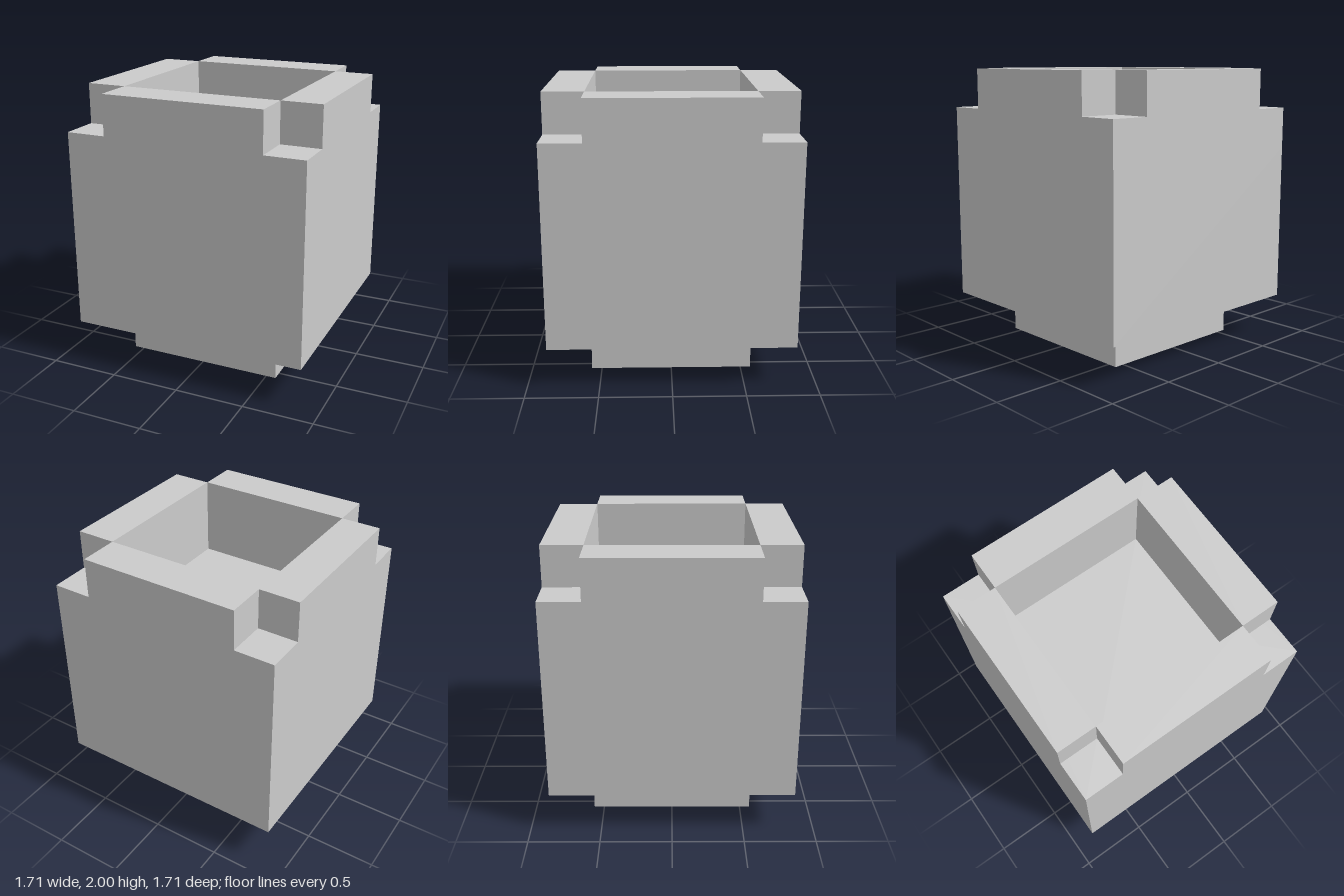
import * as THREE from 'three';

const U = 2 / 7; // grid unit: the model is 7 units tall and 6 wide

export function createModel() {
  const model = new THREE.Group();
  const material = new THREE.MeshStandardMaterial({ color: 0xcccccc, flatShading: true });

  const add = (name, geometry, x, y, z) => {
    const mesh = new THREE.Mesh(geometry, material);
    mesh.name = name;
    mesh.position.set(x * U, y * U, z * U);
    model.add(mesh);
    return mesh;
  };
  // Box sized in grid units, placed by the centre of its underside
  const box = (name, w, h, d, x, y, z) =>
    add(name, new THREE.BoxGeometry(w * U, h * U, d * U), x, y + h / 2, z);

  const square = (path, half) => {
    const s = half * U;
    path.moveTo(-s, -s);
    path.lineTo(s, -s);
    path.lineTo(s, s);
    path.lineTo(-s, s);
    path.closePath();
    return path;
  };

  // Narrow foot and solid body up to the cavity floor
  box('foot', 4, 1, 4, 0, 0, 0);
  box('body', 6, 4, 6, 0, 1, 0);

  // Square wall ring around the cavity
  const ring = square(new THREE.Shape(), 3);
  ring.holes.push(square(new THREE.Path(), 2));
  const ringGeometry = new THREE.ExtrudeGeometry(ring, { depth: U, bevelEnabled: false });
  ringGeometry.rotateX(-Math.PI / 2);
  add('wallRing', ringGeometry, 0, 5, 0);

  // Raised rims, leaving the four corners notched
  for (const [side, s] of [['front', 1], ['back', -1]]) box(side + 'Rim', 4, 1, 1, 0, 6, 2.5 * s);
  for (const [side, s] of [['left', 1], ['right', -1]]) box(side + 'Rim', 1, 1, 4, 2.5 * s, 6, 0);

  return model;
}
